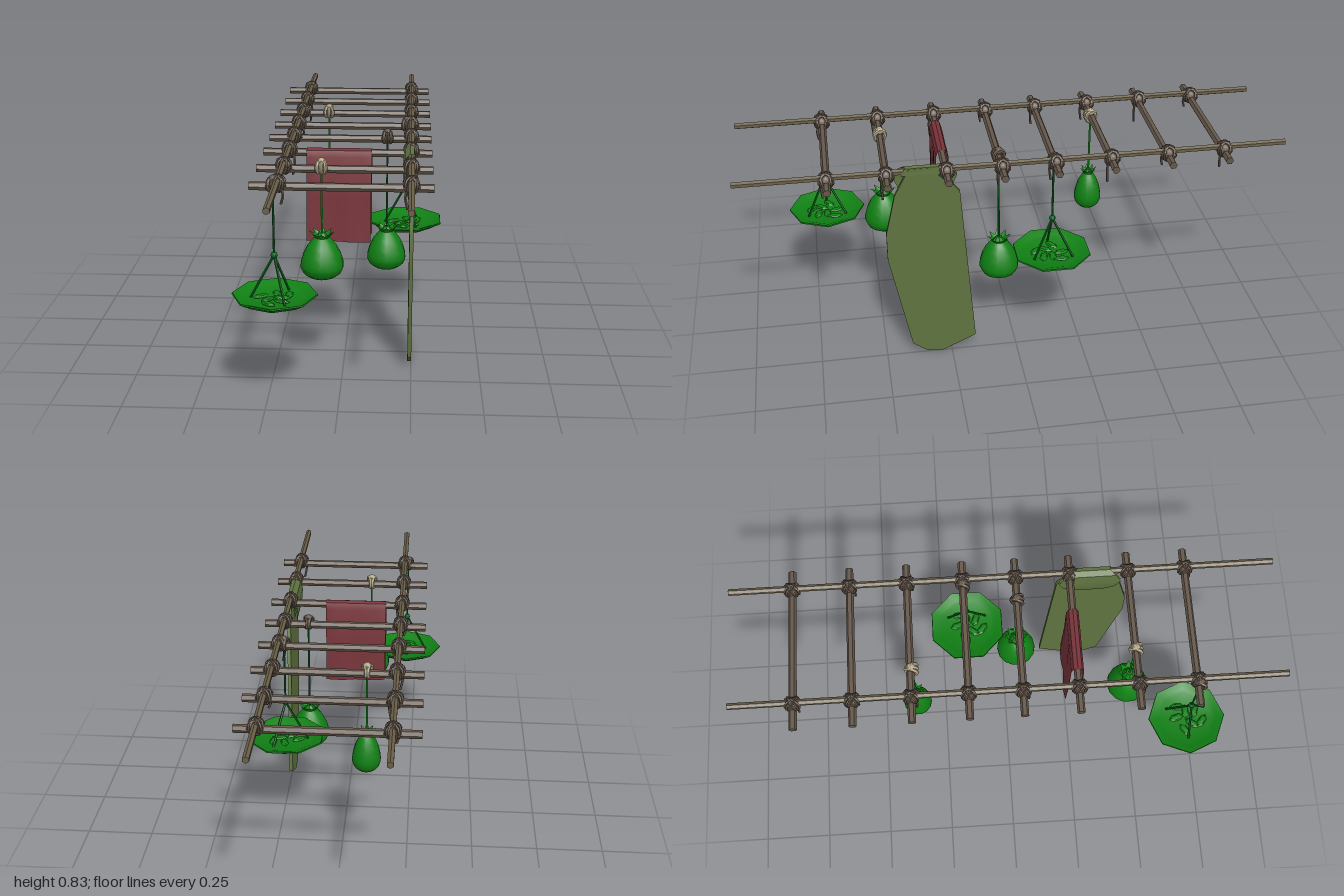
import * as THREE from 'three';
import { toCreasedNormals } from 'three/addons/utils/BufferGeometryUtils.js';

const V = (x, y, z) => new THREE.Vector3(x, y, z);

function makeMaterials() {
  const m = (name, color, double) => {
    const mat = new THREE.MeshStandardMaterial({ color });
    mat.name = name;
    if (double) mat.side = THREE.DoubleSide;
    return mat;
  };
  return {
    rail: m('railWood', 0x6a5f48),
    rung: m('rungWood', 0x65574a),
    rope: m('brownRope', 0x66574a),
    pale: m('paleRope', 0xb5a98a),
    green: m('greenClay', 0x108014, true),
    cord: m('darkGreenCord', 0x0c6420),
    bright: m('brightGreenCord', 0x12b01a),
    cloth: m('redCloth', 0x78343a, true),
    board: m('oliveHide', 0x5f7340, true),
  };
}

export function createModel() {
  const root = new THREE.Group();
  root.name = 'hangingRack';
  const mat = makeMaterials();

  const add = (parent, name, geo, material) => {
    const mesh = new THREE.Mesh(toCreasedNormals(geo, 0.6), material);
    mesh.name = name;
    parent.add(mesh);
    return mesh;
  };
  const group = (name, x, y, z) => {
    const g = new THREE.Group();
    g.name = name;
    g.position.set(x, y, z);
    root.add(g);
    return g;
  };
  // Straight pole or cord between two points
  const pole = (parent, name, a, b, r0, r1, sides, material) => {
    const dir = b.clone().sub(a);
    const mesh = add(parent, name, new THREE.CylinderGeometry(r1, r0, dir.length(), sides), material);
    mesh.position.copy(a).add(b).multiplyScalar(0.5);
    mesh.quaternion.setFromUnitVectors(V(0, 1, 0), dir.normalize());
    return mesh;
  };
  // Surface through rows of points
  const loft = (rows) => {
    const n = rows[0].length, index = [];
    for (let i = 0; i < rows.length - 1; i++)
      for (let j = 0; j < n - 1; j++) {
        const a = i * n + j, b = a + n;
        index.push(a, a + 1, b, a + 1, b + 1, b);
      }
    const geo = new THREE.BufferGeometry().setFromPoints(rows.flat());
    geo.setIndex(index);
    return geo;
  };

  // Frame: two long rails and eight rungs
  const railX = [-0.2, 0.24];
  const rungZ = [-0.77, -0.56, -0.35, -0.145, 0.05, 0.25, 0.465, 0.675];
  railX.forEach((x) => pole(root, 'rail', V(x, 0.802, -1), V(x, 0.802, 1), 0.012, 0.012, 6, mat.rail));
  rungZ.forEach((z) => pole(root, 'rung', V(-0.295, 0.782, z), V(0.315, 0.782, z), 0.0145, 0.0145, 6, mat.rung));

  // Lashing at each crossing: diagonal turns of rope with a loose tail
  const lashing = (x, z, k) => {
    const g = group('lashing', x, 0.793, z);
    add(g, 'lashingCore', new THREE.IcosahedronGeometry(0.025, 1), mat.rope);
    for (let i = 0; i < 6; i++) {
      const ring = add(g, 'ropeTurn', new THREE.TorusGeometry(0.029, 0.0045, 5, 10), mat.rope);
      ring.rotation.set((i % 3 - 1) * 0.4, (i < 3 ? 1 : -1) * Math.PI / 4 + (i % 3 - 1) * 0.3, 0);
    }
    const end = -0.055 - 0.012 * (k % 4), side = k % 2 ? 1 : -1;
    const path = new THREE.CatmullRomCurve3([
      V(0.01 * side, -0.01, 0.015), V(0.02 * side, -0.03, 0.02), V(0.012 * side, end, 0.016)]);
    add(g, 'ropeTail', new THREE.TubeGeometry(path, 5, 0.0045, 5), mat.rope);
  };
  rungZ.forEach((z, i) => railX.forEach((x, j) => lashing(x, z, i * 3 + j)));

  // Turns of rope around a rung, holding a hung item
  const hitch = (x, z, material) => {
    const g = group('hitch', x, 0.79, z);
    for (let i = -1; i <= 1; i++) {
      const turn = add(g, 'hitchTurn', new THREE.TorusGeometry(0.021, 0.007, 6, 10), material);
      turn.rotation.set(0, Math.PI / 2 + i * 0.3, 0);
      turn.position.x = i * 0.009;
    }
    const top = add(g, 'hitchKnot', new THREE.IcosahedronGeometry(0.015, 1), material);
    top.position.y = 0.018;
  };

  // Gourd pots with a spiky collar
  const pot = (x, y, z, s, cord, knot) => {
    const g = group('pot', x, y, z);
    const profile = [[0, 0], [0.045, 0.003], [0.067, 0.018], [0.077, 0.04], [0.076, 0.058],
      [0.067, 0.088], [0.052, 0.118], [0.036, 0.138], [0.025, 0.149]];
    add(g, 'potBody', new THREE.LatheGeometry(
      profile.map(([r, h]) => new THREE.Vector2(r * s, h)), 14), mat.green);
    const low = [], high = [];
    for (let i = 0; i <= 16; i++) {
      const a = i / 16 * Math.PI * 2, r = (i % 2 ? 0.03 : 0.046) * s;
      low.push(V(Math.cos(a) * 0.025 * s, 0.148, Math.sin(a) * 0.025 * s));
      high.push(V(Math.cos(a) * r, i % 2 ? 0.158 : 0.172, Math.sin(a) * r));
    }
    add(g, 'potCollar', loft([low, high]), mat.green);
    const lid = add(g, 'potLid', new THREE.CylinderGeometry(0.012 * s, 0.026 * s, 0.02, 8), mat.green);
    lid.position.y = 0.156;
    pole(g, 'potCord', V(0, 0.15, 0), V(0, 0.782 - y, 0), 0.004, 0.004, 6, cord);
    hitch(x, z, knot);
  };
  pot(-0.07, 0.385, 0.465, 1, mat.bright, mat.pale);
  pot(0.15, 0.27, 0.05, 0.98, mat.cord, mat.rope);
  pot(-0.095, 0.39, -0.345, 0.69, mat.bright, mat.pale);

  // Shallow eight-sided trays on three straps
  const tray = (x, z, r, turn) => {
    const g = group('tray', x, 0.38, z);
    const profile = [[0, 0], [0.74, 0], [0.8, 0.006], [1, 0.022], [0.99, 0.027],
      [0.78, 0.016], [0.7, 0.01], [0, 0.01]];
    const dish = add(g, 'trayDish', new THREE.LatheGeometry(
      profile.map(([q, h]) => new THREE.Vector2(q * r, h)), 8), mat.green);
    dish.rotation.y = turn;
    for (let i = 0; i < 3; i++) {
      const a = Math.PI + i * Math.PI * 2 / 3;
      pole(g, 'trayStrap', V(Math.cos(a) * 0.082, 0.012, Math.sin(a) * 0.085), V(0, 0.165, 0), 0.0045, 0.0045, 5, mat.cord);
    }
    // Dried leaves lying in the dish
    for (let i = 0; i < 7; i++) {
      const a = i * 2.4, d = 0.025 + 0.006 * i;
      const leaf = add(g, 'driedLeaf', new THREE.SphereGeometry(0.03, 6, 4), mat.green);
      leaf.scale.set(1, 0.22, 0.5);
      leaf.rotation.y = a * 1.7;
      leaf.position.set(Math.cos(a) * d, 0.012, Math.sin(a) * d);
    }
    const knot = add(g, 'strapKnot', new THREE.IcosahedronGeometry(0.012, 1), mat.cord);
    knot.position.y = 0.165;
    pole(g, 'trayCord', V(0, 0.16, 0), V(0, 0.41, 0), 0.004, 0.004, 6, mat.cord);
    hitch(x, z - 0.005, mat.rope);
  };
  tray(-0.215, 0.685, 0.147, 0);
  tray(0.222, -0.14, 0.15, Math.PI / 8);

  // Red cloth folded over a rung
  const drape = [[0.282, 0.455], [0.274, 0.62], [0.273, 0.77], [0.265, 0.793], [0.25, 0.799],
    [0.235, 0.793], [0.227, 0.77], [0.225, 0.62], [0.217, 0.47]];
  add(root, 'cloth', loft(drape.map(([z, y], i) => {
    const row = [];
    for (let j = 0; j <= 6; j++) {
      const hang = Math.max(0, 0.8 - y);
      row.push(V(-0.137 + j * 0.0392 - (i < 4 ? hang * 0.012 : 0), y - (hang > 0.2 ? j * 0.001 : 0),
        z + Math.sin(j * 1.9 + i * 0.3) * hang * 0.012));
    }
    return row;
  })), mat.cloth);

  // Tall stretched hide standing against the right-hand rail
  const outline = [[0.40, 0.045], [0.345, 0.005], [0.285, 0], [0.157, 0.06], [0.205, 0.71], [0.262, 0.785],
    [0.30, 0.815], [0.385, 0.815], [0.44, 0.71], [0.477, 0.55], [0.477, 0.44]];
  const shape = new THREE.Shape(outline.map(([z, y]) => new THREE.Vector2(-z, y)));
  const hide = add(root, 'hide', new THREE.ExtrudeGeometry(shape, { depth: 0.014, bevelEnabled: false }), mat.board);
  hide.rotation.y = Math.PI / 2;
  hide.position.x = 0.237;
  // Its top end folded over the rail
  const fold = [[0.252, 0.79, 0.265, 0.415], [0.25, 0.818, 0.28, 0.4], [0.235, 0.821, 0.27, 0.4], [0.217, 0.805, 0.235, 0.42],
    [0.211, 0.765, 0.21, 0.44], [0.213, 0.72, 0.23, 0.42], [0.222, 0.682, 0.28, 0.38]];
  const strip = (dx) => fold.map(([x, y, z0, z1]) => [V(x + dx, y, z0), V(x + dx, y, z1)]);
  add(root, 'hideFold', loft(strip(0)), mat.board);
  add(root, 'hideFoldInner', loft(strip(0.011).slice(3)), mat.board);

  return root;
}
